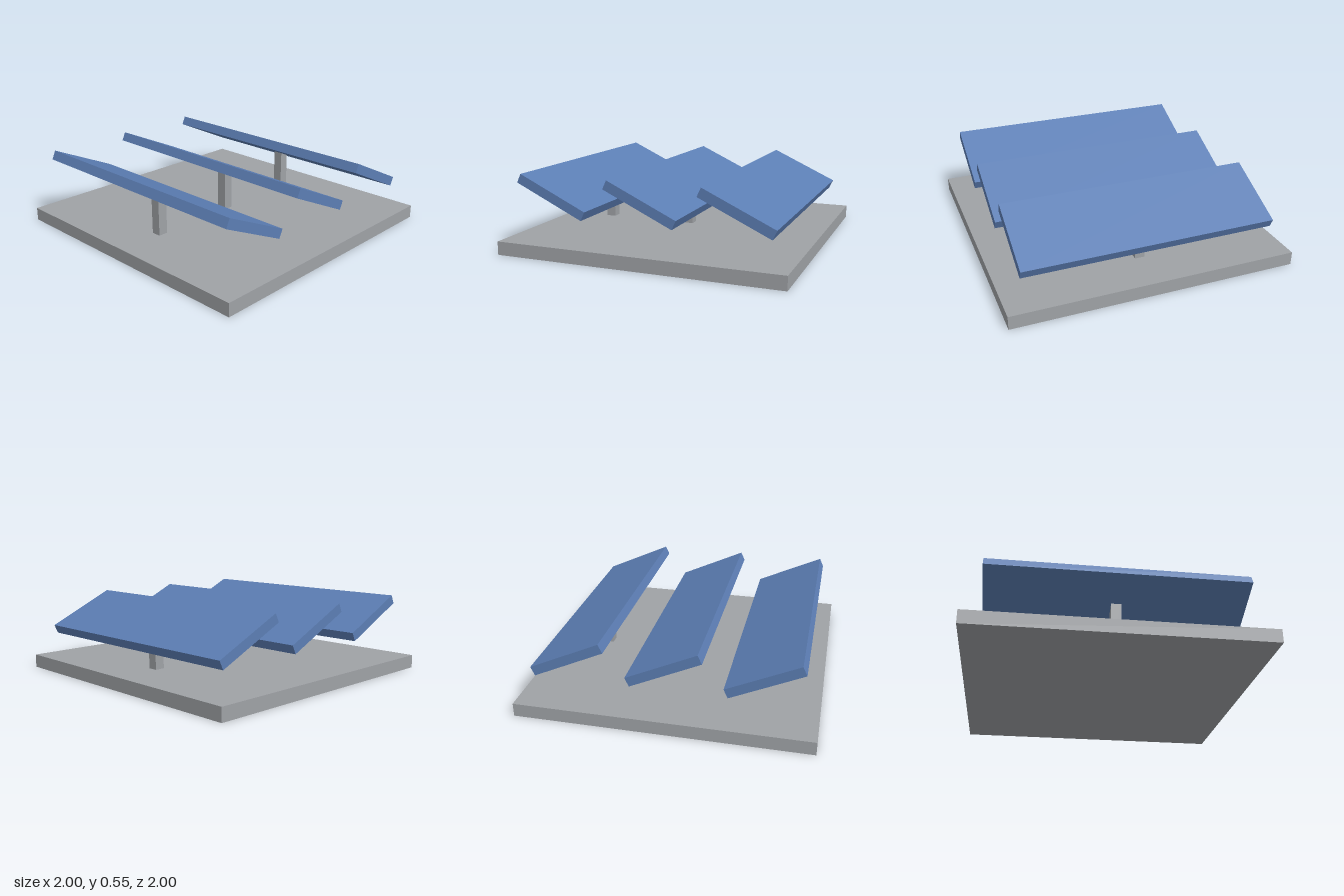
import * as THREE from 'three';

export function createModel() {
  const model = new THREE.Group();
  model.name = 'solarArray';

  const grey = new THREE.MeshStandardMaterial({ name: 'grey', color: 0x9fa2a6 });
  const blue = new THREE.MeshStandardMaterial({ name: 'panelBlue', color: 0x5c7eb4 });

  const box = (name, size, material, y, z) => {
    const mesh = new THREE.Mesh(new THREE.BoxGeometry(...size), material);
    mesh.name = name;
    mesh.position.set(0, y, z);
    model.add(mesh);
    return mesh;
  };

  // Square ground slab
  const slabTop = 0.094;
  box('base', [2, slabTop, 2], grey, slabTop / 2, 0);

  // Three rows: a post carrying a panel tilted up towards the front
  const postTop = 0.39;
  ['back', 'middle', 'front'].forEach((row, i) => {
    const z = (i - 1) * 0.647;
    box(row + 'Post', [0.07, postTop - slabTop, 0.07], grey, (postTop + slabTop) / 2, z);
    const panel = box(row + 'Panel', [1.765, 0.067, 0.53], blue, 0.403, z);
    panel.rotation.x = -THREE.MathUtils.degToRad(25);
  });

  return model;
}
